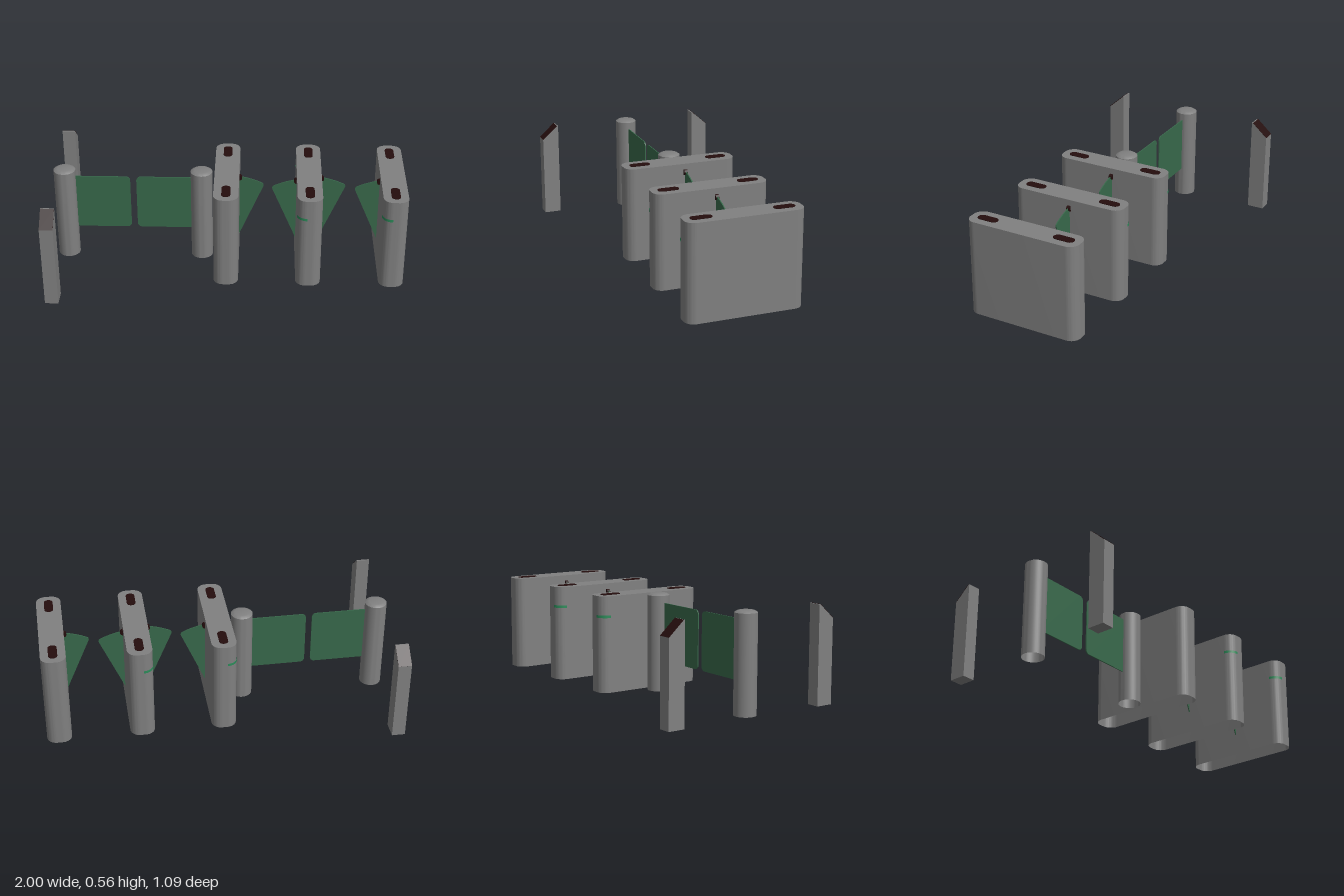
import * as THREE from 'three';
import { toCreasedNormals } from 'three/addons/utils/BufferGeometryUtils.js';

const mat = (name, color, extra = {}) => new THREE.MeshStandardMaterial({ name, color, ...extra });

// Rectangle with separately rounded left and right corners
function roundedRect(x0, y0, x1, y1, rl, rr) {
  const s = new THREE.Shape();
  s.moveTo(x0 + rl, y0);
  s.lineTo(x1 - rr, y0);
  if (rr) s.absarc(x1 - rr, y0 + rr, rr, -Math.PI / 2, 0);
  s.lineTo(x1, y1 - rr);
  if (rr) s.absarc(x1 - rr, y1 - rr, rr, 0, Math.PI / 2);
  s.lineTo(x0 + rl, y1);
  if (rl) s.absarc(x0 + rl, y1 - rl, rl, Math.PI / 2, Math.PI);
  s.lineTo(x0, y0 + rl);
  if (rl) s.absarc(x0 + rl, y0 + rl, rl, Math.PI, Math.PI * 1.5);
  return s;
}

function extrude(shape, depth) {
  const g = new THREE.ExtrudeGeometry(shape, { depth, bevelEnabled: false, curveSegments: 10 });
  return toCreasedNormals(g, 0.6);
}

// Drop the triangles lying on the floor, leaving a hollow shell
function openBottom(g) {
  const p = g.attributes.position, keep = [];
  for (let i = 0; i < p.count; i += 3) {
    if (Math.max(p.getY(i), p.getY(i + 1), p.getY(i + 2)) > 1e-4) keep.push(i, i + 1, i + 2);
  }
  g.clearGroups();
  g.setIndex(keep);
  return g;
}

export function createModel() {
  const metal = mat('grey metal', 0x808080, { side: THREE.DoubleSide });
  const glass = mat('green glass', 0x38694b);
  const dark = mat('dark panel', 0x240d0d);
  const light = mat('green light', 0x2c8c5a, { side: THREE.DoubleSide });

  const root = new THREE.Group();
  root.name = 'turnstileSet';
  const add = (parent, name, geometry, material, x = 0, y = 0, z = 0) => {
    const m = new THREE.Mesh(geometry, material);
    m.name = name;
    m.position.set(x, y, z);
    parent.add(m);
    return m;
  };

  // Cabinet parts
  const W = 0.07, L = 0.33, H = 0.55, R = 0.055;
  const bodyGeo = openBottom(extrude(roundedRect(-W, -L, W, L, R, R), H).rotateX(-Math.PI / 2));
  const readerGeo = extrude(roundedRect(-0.025, -0.06, 0.025, 0.06, 0.024, 0.024), 0.003).rotateX(-Math.PI / 2);
  const hingeGeo = new THREE.CylinderGeometry(0.016, 0.016, 0.02, 16).rotateX(Math.PI / 2);

  // Fan-shaped flap, mirrored for the other side
  function flapGeometry(side) {
    const s = new THREE.Shape();
    s.moveTo(side * (W - 0.005), 0.113);
    s.lineTo(side * 0.207, 0.445);
    s.quadraticCurveTo(side * 0.213, 0.459, side * 0.198, 0.466);
    s.quadraticCurveTo(side * 0.14, 0.495, side * (W - 0.005), 0.508);
    s.closePath();
    return extrude(s, 0.006).translate(0, 0, -0.003);
  }

  const cabinets = [
    { x: -0.005, flaps: [1], lights: [-1] },
    { x: 0.46, flaps: [-1, 1], lights: [1, -1] },
    { x: 0.93, flaps: [-1], lights: [1] },
  ];
  for (const { x, flaps, lights } of cabinets) {
    const cabinet = new THREE.Group();
    cabinet.name = 'cabinet';
    cabinet.position.x = x;
    root.add(cabinet);
    add(cabinet, 'cabinetBody', bodyGeo, metal);
    for (const e of [-1, 1]) add(cabinet, 'cardReader', readerGeo, dark, 0, H, e * 0.23);
    for (const f of flaps) {
      const z = f > 0 ? -0.02 : 0.01;
      add(cabinet, 'flap', flapGeometry(f), glass, 0, 0, z);
      add(cabinet, 'flapHinge', hingeGeo, dark, f * W, 0.5, z);
    }
    // Light strips wrapped round the end corners
    for (const e of lights) {
      const strip = new THREE.CylinderGeometry(R + 0.002, R + 0.002, 0.015, 10, 1, true,
        e > 0 ? -Math.PI / 2 : Math.PI, Math.PI / 2);
      add(cabinet, 'statusLight', strip, light, -W + R, 0.435, e * (L - R));
    }
  }

  // Swing gate: two round posts with glass leaves
  const profile = [[0.062, 0], [0.062, 0.546], [0.05, 0.554], [0.04, 0.557], [0, 0.557]]
    .map(([r, y]) => new THREE.Vector2(r, y));
  const postGeo = toCreasedNormals(new THREE.LatheGeometry(profile, 40), 0.5);
  for (const x of [-0.93, -0.15]) add(root, 'gatePost', postGeo, metal, x);
  const leaf = (x0, x1, rl, rr) => add(root, 'gateLeaf',
    extrude(roundedRect(x0, 0.175, x1, 0.505, rl, rr), 0.006), glass, 0, 0, -0.003);
  leaf(-0.88, -0.558, 0, 0.025);
  leaf(-0.523, -0.2, 0.025, 0);

  // Square reader posts with sloping dark tops facing outwards
  const zIn = 0.445, zFlat = 0.452, zOut = 0.543, yTop = 0.556, yLow = 0.475;
  const side = new THREE.Shape([[zIn, 0], [zOut, 0], [zOut, yLow], [zFlat, yTop], [zIn, yTop]]
    .map(([z, y]) => new THREE.Vector2(z, y)));
  const standGeo = new THREE.ExtrudeGeometry(side, { depth: 0.075, bevelEnabled: false })
    .translate(0, 0, -0.0375).rotateY(-Math.PI / 2);
  const run = zOut - zFlat, drop = yTop - yLow;
  const panelGeo = new THREE.BoxGeometry(0.075, 0.003, Math.hypot(run, drop))
    .rotateX(Math.atan2(drop, run));
  for (const turn of [0, Math.PI]) {
    const stand = new THREE.Group();
    stand.name = 'readerPost';
    stand.position.x = -0.9625;
    stand.rotation.y = turn;
    root.add(stand);
    add(stand, 'readerPostBody', standGeo, metal);
    add(stand, 'readerPanel', panelGeo, dark, 0, (yTop + yLow) / 2, (zOut + zFlat) / 2);
  }
  return root;
}
